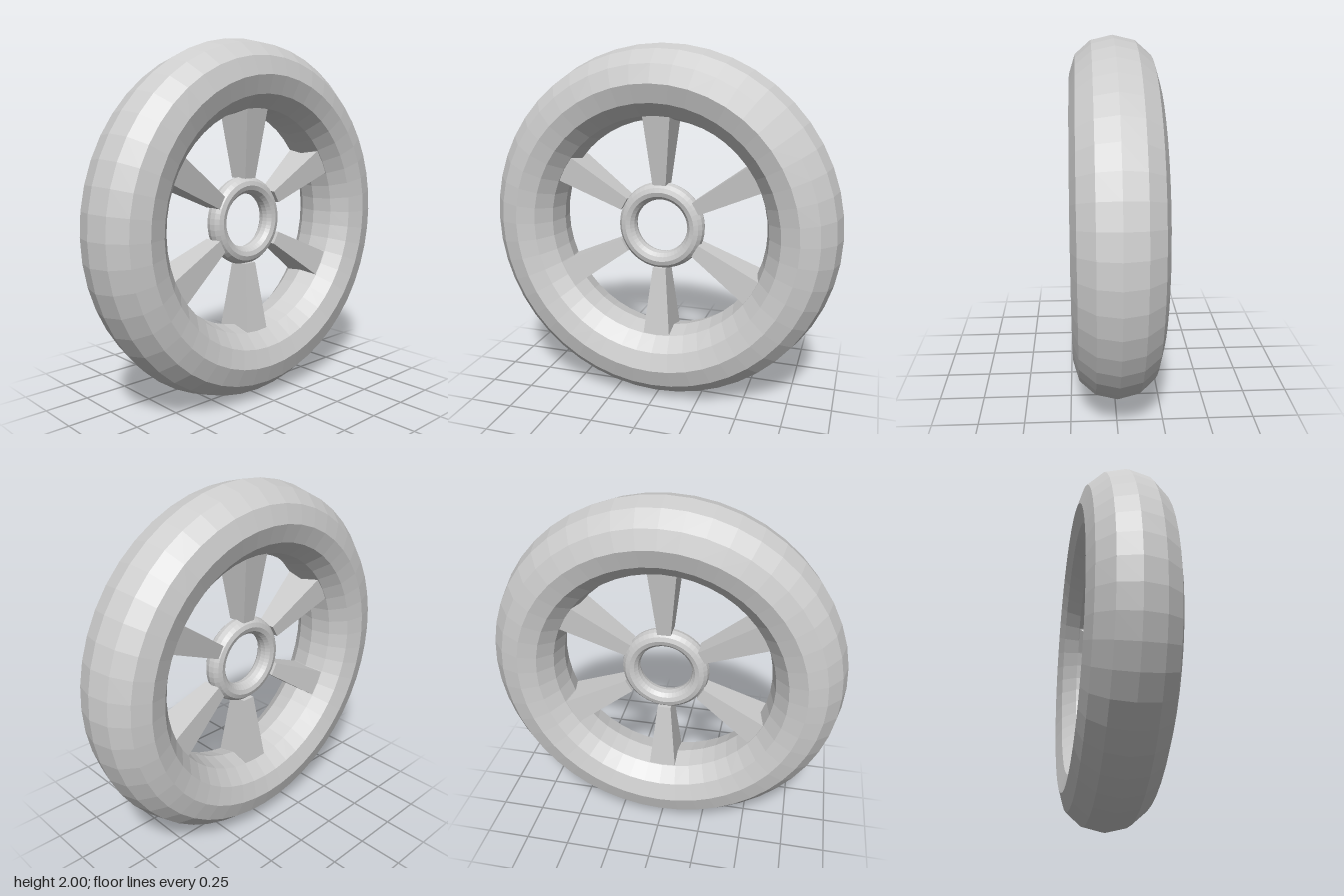
import * as THREE from 'three';

export function createModel() {
  const model = new THREE.Group();
  model.name = 'wheel';
  const grey = new THREE.MeshStandardMaterial({ color: 0xcccccc });
  grey.name = 'grey';
  grey.flatShading = true;

  const wheel = new THREE.Group();
  wheel.name = 'wheelAssembly';
  wheel.position.y = 1;
  model.add(wheel);

  // Slightly widened faceted ring
  const ring = (name, radius, tube) => {
    const geometry = new THREE.TorusGeometry(radius, tube, 12, 48).scale(1, 1, 1.15);
    const mesh = new THREE.Mesh(geometry, grey);
    mesh.name = name;
    wheel.add(mesh);
  };
  ring('tyre', 0.8, 0.2);
  ring('hub', 0.2, 0.05);

  // Six rectangular spokes, flaring from the hub to the tyre
  const inner = 0.24, outer = 0.626;
  const spokeGeometry = new THREE.CylinderGeometry(
    0.077 * Math.SQRT2, 0.038 * Math.SQRT2, outer - inner, 4, 1, false, Math.PI / 4);
  spokeGeometry.scale(1, 1, 1.45).translate(0, (inner + outer) / 2, 0);
  for (let i = 0; i < 6; i++) {
    const spoke = new THREE.Mesh(spokeGeometry, grey);
    spoke.name = 'spoke' + (i + 1);
    spoke.rotation.z = (i * Math.PI) / 3;
    wheel.add(spoke);
  }
  return model;
}
